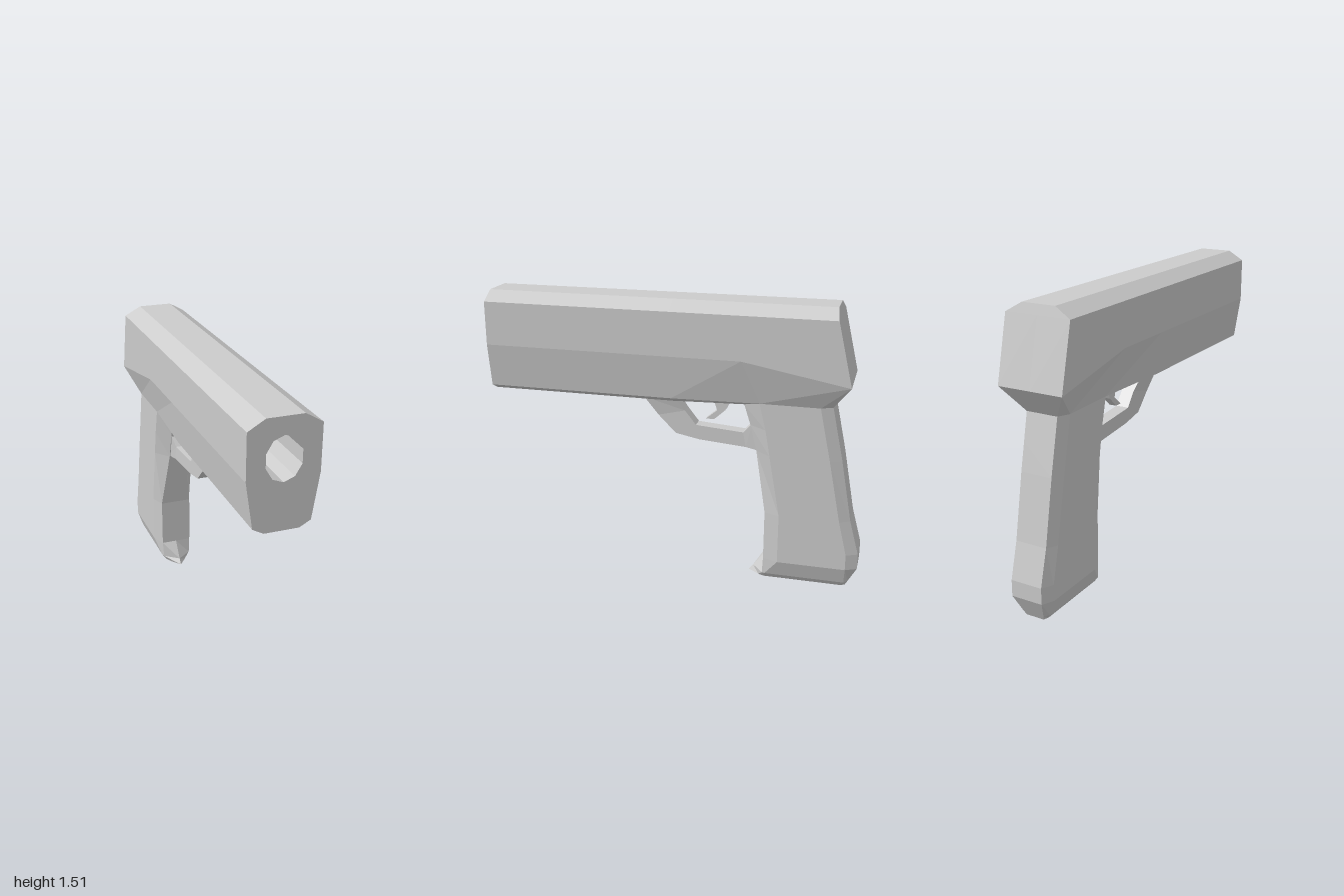
import * as THREE from 'three';

const material = new THREE.MeshStandardMaterial({ color: 0xcccccc, flatShading: true });
const boreMaterial = new THREE.MeshStandardMaterial({ color: 0xcccccc, flatShading: true, side: THREE.BackSide });

// Closes a right-hand half outline [x, y, z] with its mirror image
const mirror = (half) => [...half, ...half.map(([x, y, z]) => [-x, y, z]).reverse()];

// Skins a row of equal-length rings, with optional fan caps
function loft(rings, capStart = false, capEnd = false) {
  const pos = [];
  const tri = (...pts) => pts.forEach((p) => pos.push(...p));
  const n = rings[0].length;
  for (let r = 0; r < rings.length - 1; r++) {
    for (let i = 0; i < n; i++) {
      const j = (i + 1) % n;
      const [a, b, c, d] = [rings[r][i], rings[r][j], rings[r + 1][j], rings[r + 1][i]];
      tri(a, b, d);
      tri(b, c, d);
    }
  }
  const first = rings[0], last = rings[rings.length - 1];
  for (let i = 1; i < n - 1; i++) {
    if (capStart) tri(first[0], first[i + 1], first[i]);
    if (capEnd) tri(last[0], last[i], last[i + 1]);
  }
  const g = new THREE.BufferGeometry();
  g.setAttribute('position', new THREE.Float32BufferAttribute(pos, 3));
  g.computeVertexNormals();
  return g;
}

export function createModel() {
  const group = new THREE.Group();
  const add = (name, geometry, mat = material) => {
    const mesh = new THREE.Mesh(geometry, mat);
    mesh.name = name;
    group.add(mesh);
    return mesh;
  };

  // Upper body: half section runs top, shoulder, waist, lower edge, underside
  const section = [[0.09, 1.51], [0.175, 1.46], [0.175, 1.23], [0.14, 1.0], [0.085, 0.97]];
  const at = (z) => section.map(([x, y]) => [x, y, z]);
  const top = [[0.09, 1.51, -0.83], [0.175, 1.46, -0.842], [0.175, 1.13, -0.92]];
  const heel = [0.085, 1.0, -0.83];
  const rear = [...top, heel, heel];
  add('upperBody', loft([
    at(1),
    at(0),
    [...at(-0.37).slice(0, 3), [0.115, 1.0, -0.46], [0.05, 0.97, -0.37]],
    [...top, [0.115, 1.0, -0.77], heel],
    rear,
    rear.map(([, y, z]) => [0, y, z]),
  ].map(mirror)));

  // Front face with a ten-sided opening
  const sides = 10, rx = 0.09, ry = 0.11, cy = 1.315, depth = 0.5;
  const face = new THREE.Shape(mirror(at(1)).map(([x, y]) => new THREE.Vector2(x, y)));
  const hole = [];
  for (let i = 0; i < sides; i++) {
    const a = (i / sides) * Math.PI * 2;
    hole.push(new THREE.Vector2(rx * Math.sin(a), cy + ry * Math.cos(a)));
  }
  face.holes.push(new THREE.Path(hole));
  add('frontFace', new THREE.ShapeGeometry(face).translate(0, 0, 1));

  // Bore wall and its end
  add('bore', new THREE.CylinderGeometry(1, 1, depth, sides, 1, true)
    .rotateX(Math.PI / 2).scale(rx, ry, 1).translate(0, cy, 1 - depth / 2), boreMaterial);
  add('boreEnd', new THREE.ShapeGeometry(new THREE.Shape(hole)).translate(0, 0, 1 - depth));

  // Grip, bottom to top: front corner, side front, side back, back corner, then front centre
  const gripRing = (half, centre) => [...mirror(half), centre];
  const gripLevel = (y, xf, zf, zsf, zsb, zb) => gripRing(
    [[xf, y, zf], [0.115, y, zsf], [0.115, y, zsb], [0.085, y, zb]], [0, y, zf]);
  add('grip', loft([
    gripRing([[0.045, 0, -0.47], [0.06, 0, -0.5], [0.06, 0, -0.91], [0.05, 0, -0.94]], [0, 0, -0.41]),
    gripRing([[0.08, 0.03, -0.495], [0.085, 0.03, -0.51], [0.085, 0.03, -0.935], [0.06, 0.03, -0.955]], [0, 0.03, -0.433]),
    gripLevel(0.12, 0.085, -0.5, -0.58, -0.94, -1.0),
    gripLevel(0.205, 0.085, -0.5, -0.58, -0.94, -1.0),
    gripLevel(0.39, 0.085, -0.5, -0.58, -0.895, -0.95),
    gripLevel(0.72, 0.05, -0.44, -0.52, -0.83, -0.89),
    gripLevel(0.86, 0.05, -0.405, -0.495, -0.80, -0.86),
    gripRing([[0.05, 0.97, -0.37], [0.115, 1.0, -0.46], [0.115, 1.0, -0.77], heel], [0, 0.97, -0.37]),
  ], true));

  // Trigger guard stations: half width, inner y and z, outer y and z
  const guard = [
    [0.05, 0.97, 0.0, 0.97, 0.17],
    [0.035, 0.905, -0.05, 0.87, 0.095],
    [0.035, 0.83, -0.11, 0.775, 0.0],
    [0.035, 0.828, -0.13, 0.75, -0.13],
    [0.035, 0.81, -0.365, 0.73, -0.38],
    [0.05, 0.87, -0.415, 0.72, -0.46],
  ];
  add('triggerGuard', loft(
    guard.map(([w, yi, zi, yo, zo]) => mirror([[w, yi, zi], [w, yo, zo]])), true, true));

  // Trigger, extruded across x from its side outline (z, y)
  const outline = [[-0.29, 0.98], [-0.285, 0.96], [-0.265, 0.92], [-0.205, 0.865],
    [-0.16, 0.865], [-0.22, 0.915], [-0.2, 0.98]];
  const trigger = new THREE.Shape(outline.map(([z, y]) => new THREE.Vector2(-z, y)));
  add('trigger', new THREE.ExtrudeGeometry(trigger, { depth: 0.04, bevelEnabled: false })
    .translate(0, 0, -0.02).rotateY(Math.PI / 2));

  return group;
}
